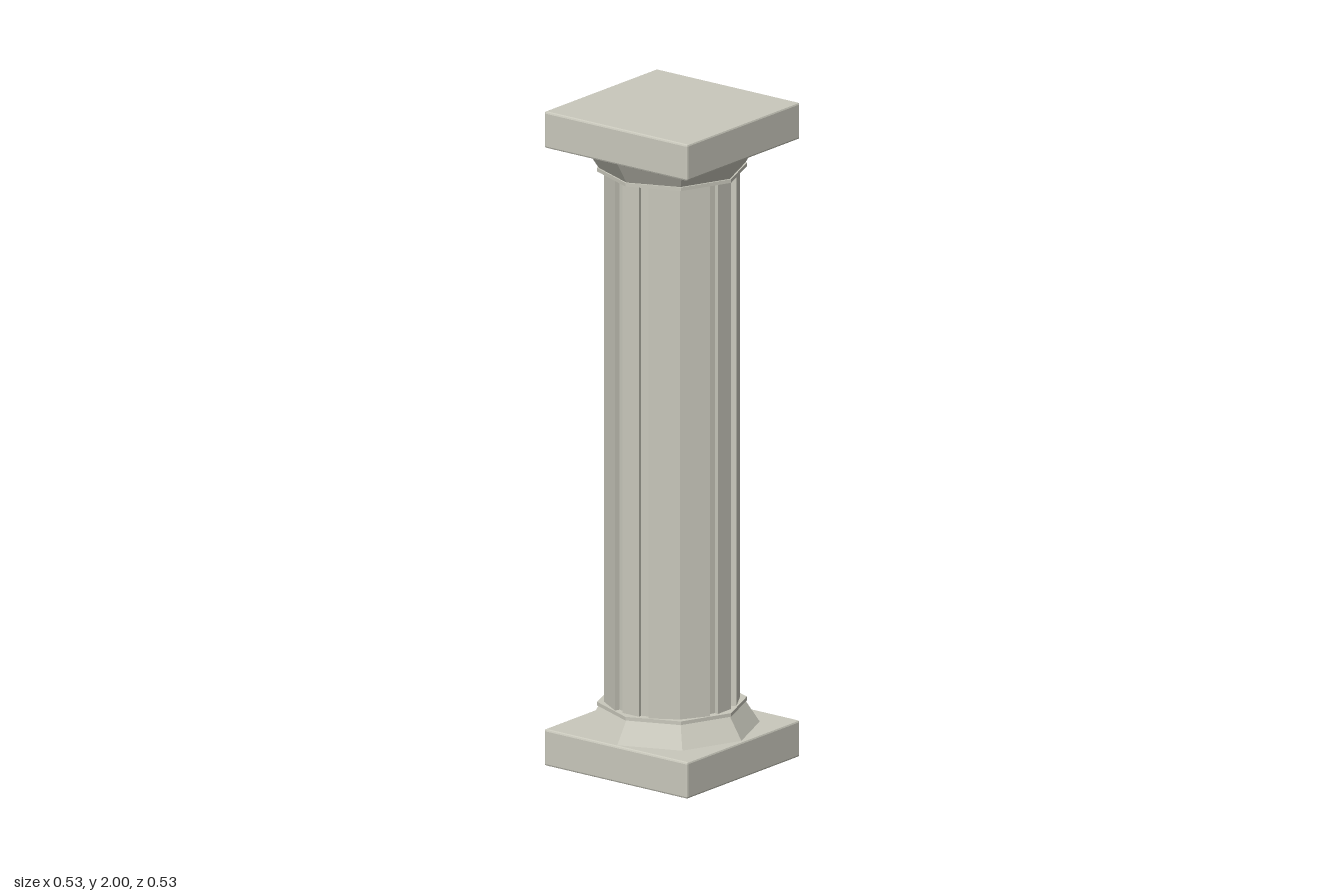
import * as THREE from 'three';
import { RoundedBoxGeometry } from 'three/addons/geometries/RoundedBoxGeometry.js';

export function createModel() {
  const group = new THREE.Group();
  const stone = new THREE.MeshStandardMaterial({ color: 0xc9c8bc, flatShading: true });
  stone.name = 'paleStone';

  function add(name, geometry, y, parent = group) {
    const mesh = new THREE.Mesh(geometry, stone);
    mesh.name = name;
    mesh.position.y = y;
    parent.add(mesh);
    return mesh;
  }

  // Shaft: faceted column with a pair of shallow flutes beside each axis
  const quarter = [
    [9, 0.197], [9, 0.184], [18, 0.184], [18, 0.2], [45, 0.2],
    [72, 0.2], [72, 0.184], [81, 0.184], [81, 0.197],
  ];
  const points = [];
  for (let q = 0; q < 4; q++) {
    for (const [deg, r] of quarter) {
      const a = THREE.MathUtils.degToRad(deg + q * 90);
      points.push(new THREE.Vector2(Math.cos(a) * r, Math.sin(a) * r));
    }
  }
  const shaft = new THREE.ExtrudeGeometry(new THREE.Shape(points), { depth: 1.66, bevelEnabled: false });
  shaft.rotateX(-Math.PI / 2);
  add('shaft', shaft, 0.17);

  // Base and capital: square slab, eight-sided flare and thin collar
  function addEnd(name, top) {
    const end = new THREE.Group();
    end.name = name;
    const place = (y) => (top ? 2 - y : y);
    add(name + 'Slab', new RoundedBoxGeometry(0.532, 0.112, 0.532, 1, 0.006), place(0.056), end);
    const [upper, lower] = top ? [0.259, 0.214] : [0.214, 0.259];
    add(name + 'Flare', new THREE.CylinderGeometry(upper, lower, 0.07, 8), place(0.145), end);
    add(name + 'Collar', new THREE.CylinderGeometry(0.22, 0.22, 0.011, 8), place(0.184), end);
    group.add(end);
  }
  addEnd('base', false);
  addEnd('capital', true);

  return group;
}
